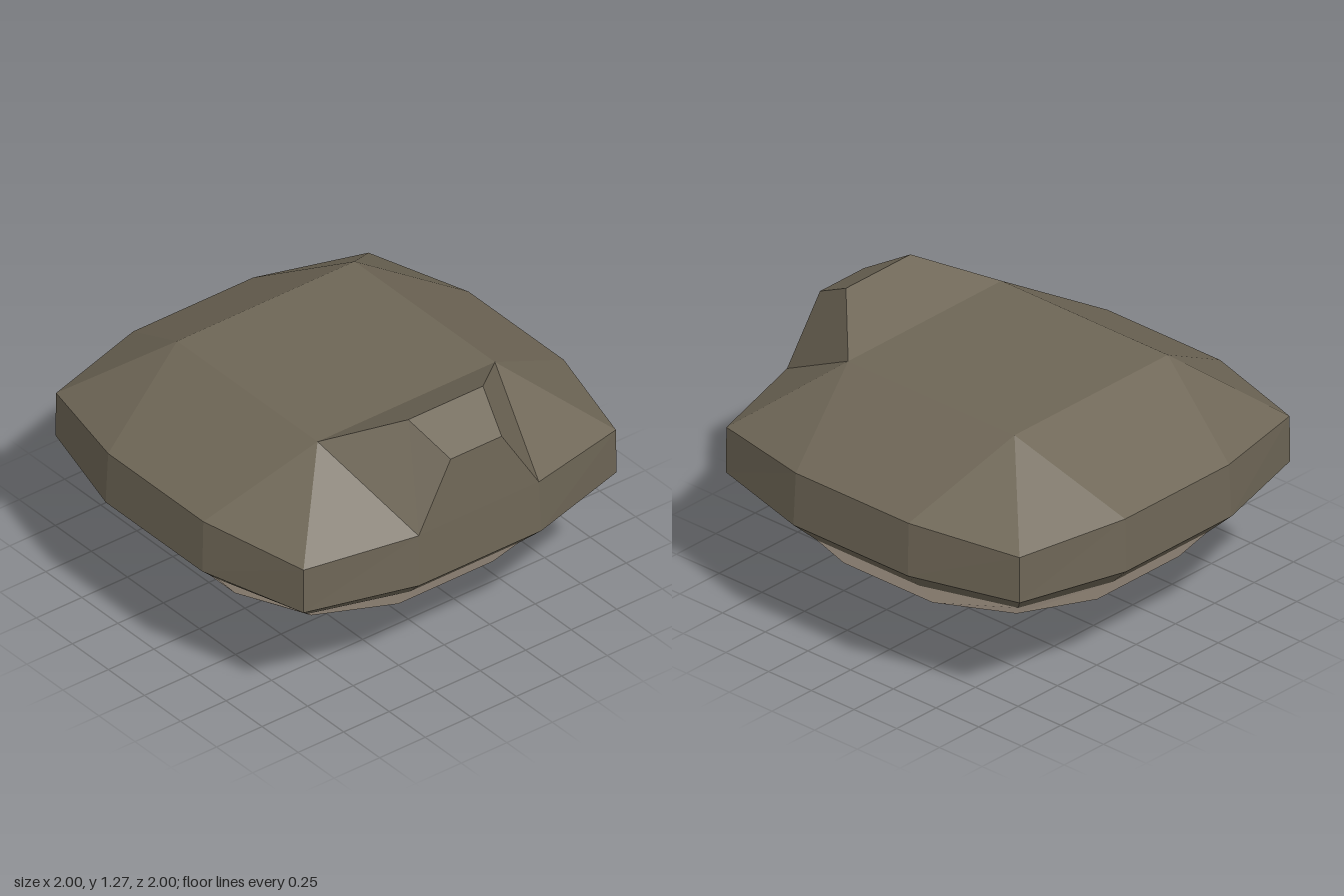
import * as THREE from 'three';

// Twelve-point rounded-square ring: side points at (s, ±m), corner points at (c, c)
function ring(s, m, ySide, c, yCorner) {
  const pts = [];
  for (let k = 0; k < 4; k++) {
    const cos = [1, 0, -1, 0][k], sin = [0, 1, 0, -1][k];
    for (const [x, y, z] of [[s, ySide, -m], [s, ySide, m], [c, yCorner, c]]) {
      pts.push(new THREE.Vector3(x * cos - z * sin, y, x * sin + z * cos));
    }
  }
  return pts;
}

// Fan-triangulated polygons, skipping collapsed triangles
function addFace(out, ...p) {
  for (let i = 1; i < p.length - 1; i++) {
    if (new THREE.Triangle(p[0], p[i], p[i + 1]).getArea() < 1e-6) continue;
    for (const v of [p[0], p[i], p[i + 1]]) out.push(v.x, v.y, v.z);
  }
}

// Joins a lower ring to an upper ring, facing outwards
function loft(out, low, high, skip = -1) {
  low.forEach((a, i) => {
    const j = (i + 1) % low.length;
    if (i !== skip) addFace(out, high[i], high[j], low[j], a);
  });
}

function makeMesh(name, out, material) {
  const g = new THREE.BufferGeometry();
  g.setAttribute('position', new THREE.Float32BufferAttribute(out, 3));
  g.computeVertexNormals();
  const mesh = new THREE.Mesh(g, material);
  mesh.name = name;
  return mesh;
}

export function createModel() {
  const group = new THREE.Group();
  group.name = 'mushroom';
  const capMat = new THREE.MeshStandardMaterial({ color: 0x6e6656, flatShading: true });
  capMat.name = 'cap brown';
  const stemMat = new THREE.MeshStandardMaterial({ color: 0xdccab6, flatShading: true });
  stemMat.name = 'stem beige';
  const V = (x, y, z) => new THREE.Vector3(x, y, z);

  const top = ring(0.487, 0.487, 1.128, 0.487, 1.128);
  const shoulder = ring(0.99, 0.33, 0.84, 0.858, 0.815);
  const rim = ring(1, 0.335, 0.587, 0.86, 0.594);
  const lip = ring(0.89, 0.3, 0.482, 0.76, 0.492);
  const under = ring(0.762, 0.26, 0.332, 0.65, 0.378);
  const neck = ring(0.27, 0.27, 0.383, 0.27, 0.383);

  // Cap: sloped roof, upright rim, tucked lower edge and flat crown
  const cap = [];
  loft(cap, shoulder, top, 0);
  loft(cap, rim, shoulder);
  loft(cap, lip, rim);
  addFace(cap, top[0], top[7], top[4], top[1]);
  group.add(makeMesh('cap', cap, capMat));

  // Raised knob on one side of the cap
  const knob = [];
  const k = [0, 1].map((i) => [top[i], V(0.76, 1.27, i ? 0.205 : -0.205),
    V(0.972, 1.15, i ? 0.14 : -0.14), shoulder[i]]);
  for (let i = 0; i < 3; i++) addFace(knob, k[0][i], k[1][i], k[1][i + 1], k[0][i + 1]);
  addFace(knob, ...k[0]);
  addFace(knob, ...[...k[1]].reverse());
  group.add(makeMesh('capKnob', knob, capMat));

  // Pale underside
  const gills = [];
  loft(gills, under, lip);
  loft(gills, neck, under);
  group.add(makeMesh('underside', gills, stemMat));

  // Tapered stem with one chamfered lower edge
  const stem = [];
  const s = [-1, 1].map((d) => [V(-0.27, 0.383, 0.27 * d), V(-0.21, 0.1, 0.208 * d),
    V(-0.143, 0, 0.143 * d), V(0.14, 0, 0.14 * d), V(0.27, 0.383, 0.27 * d)]);
  for (let i = 0; i < 4; i++) addFace(stem, s[0][i], s[0][i + 1], s[1][i + 1], s[1][i]);
  for (const t of [[2, 1, 0], [3, 2, 0], [4, 3, 0]]) addFace(stem, ...t.map((i) => s[0][i]));
  for (const t of [[0, 1, 3], [1, 2, 3], [0, 3, 4]]) addFace(stem, ...t.map((i) => s[1][i]));
  group.add(makeMesh('stem', stem, stemMat));

  return group;
}
